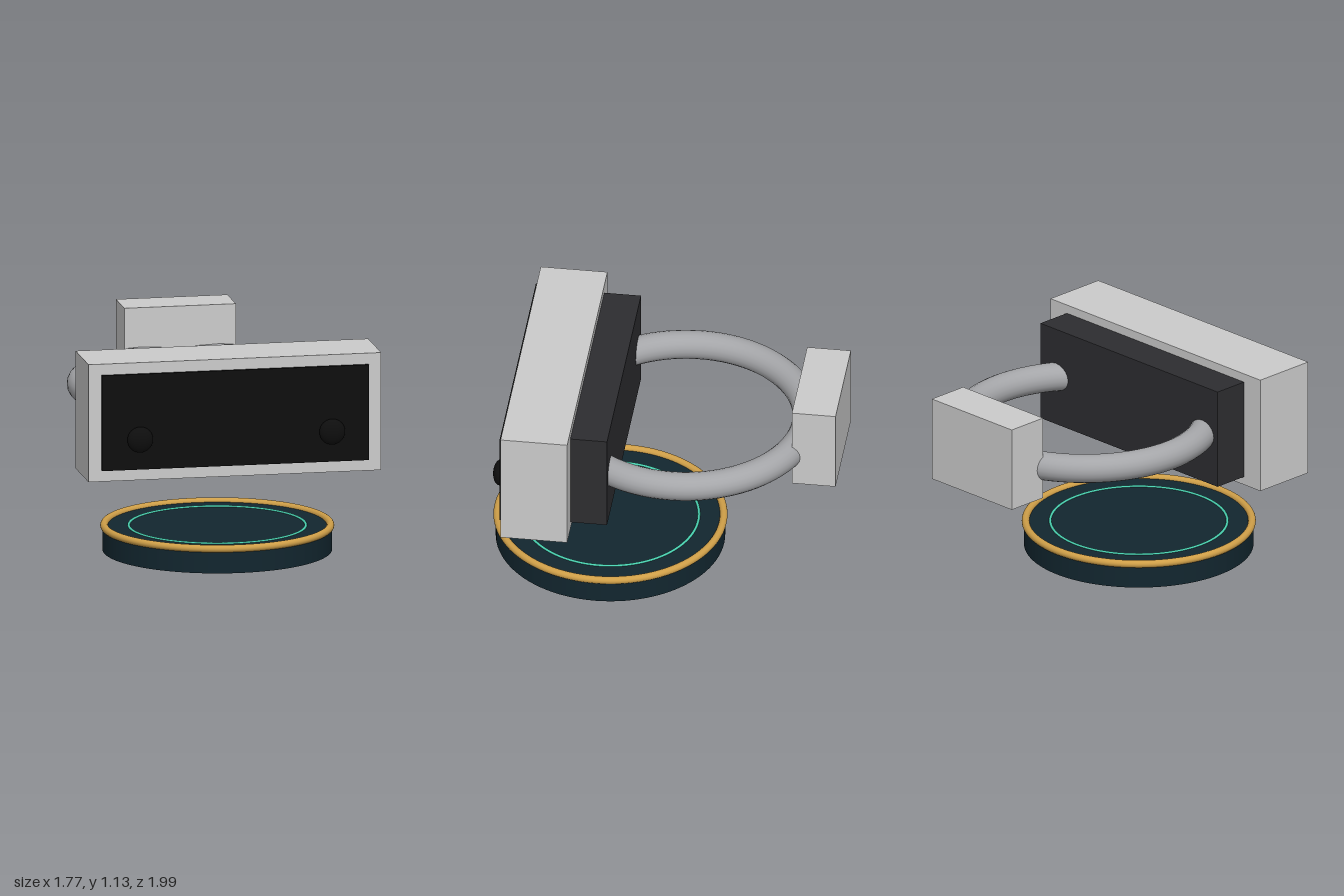
import * as THREE from 'three';

const grey = new THREE.MeshStandardMaterial({ color: 0xcccccc });
const paint = (color) => new THREE.MeshStandardMaterial({ color });

export function createModel() {
  const model = new THREE.Group();
  model.name = 'ringDeviceOnPedestal';

  // Everything is aligned to one turned axis; z = 0 is the middle of the front housing
  const body = new THREE.Group();
  body.name = 'turnedBody';
  body.position.set(-0.095, 0, 0.54);
  body.rotation.y = -0.374;
  model.add(body);

  const add = (name, geometry, material, x, y, z) => {
    const mesh = new THREE.Mesh(geometry, material);
    mesh.name = name;
    mesh.position.set(x, y, z);
    body.add(mesh);
    return mesh;
  };
  const box = (name, w, h, d, material, y, z) =>
    add(name, new THREE.BoxGeometry(w, h, d), material, 0, y, z);
  const flatRing = (name, radius, tube, material, y, z) => {
    const ring = add(name, new THREE.TorusGeometry(radius, tube, 20, 96), material, 0, y, z);
    ring.rotation.x = Math.PI / 2;
    return ring;
  };

  // Front housing with its dark panel and backing block
  const black = paint(0x0e0e0e);
  box('frontHousing', 1.57, 0.632, 0.354, grey, 0.811, 0);
  box('frontPanel', 1.43, 0.513, 0.04, black, 0.811, 0.173);
  box('backingBlock', 1.325, 0.54, 0.24, paint(0x2d2d30), 0.81, -0.252);

  // Two flattened knobs low on the panel
  for (const side of [-1, 1]) {
    const knob = add(side < 0 ? 'rightKnob' : 'leftKnob',
      new THREE.SphereGeometry(0.069, 32, 20), black, side * 0.515, 0.72, 0.214);
    knob.scale.z = 0.55;
  }

  // Horizontal ring and the block at its rear
  flatRing('ring', 0.638, 0.076, paint(0xa5a6a9), 0.81, -0.7);
  box('rearBlock', 0.598, 0.455, 0.232, grey, 0.87, -1.42);

  // Round pedestal with a gold rim and an inlaid circle
  const baseZ = -0.3;
  add('pedestal', new THREE.CylinderGeometry(0.604, 0.604, 0.13, 96), paint(0x12262f), 0, 0.065, baseZ);
  flatRing('pedestalRim', 0.596, 0.02, paint(0xcf9f48), 0.131, baseZ);
  flatRing('pedestalInlay', 0.466, 0.007, paint(0x48d0b0), 0.131, baseZ);

  return model;
}
